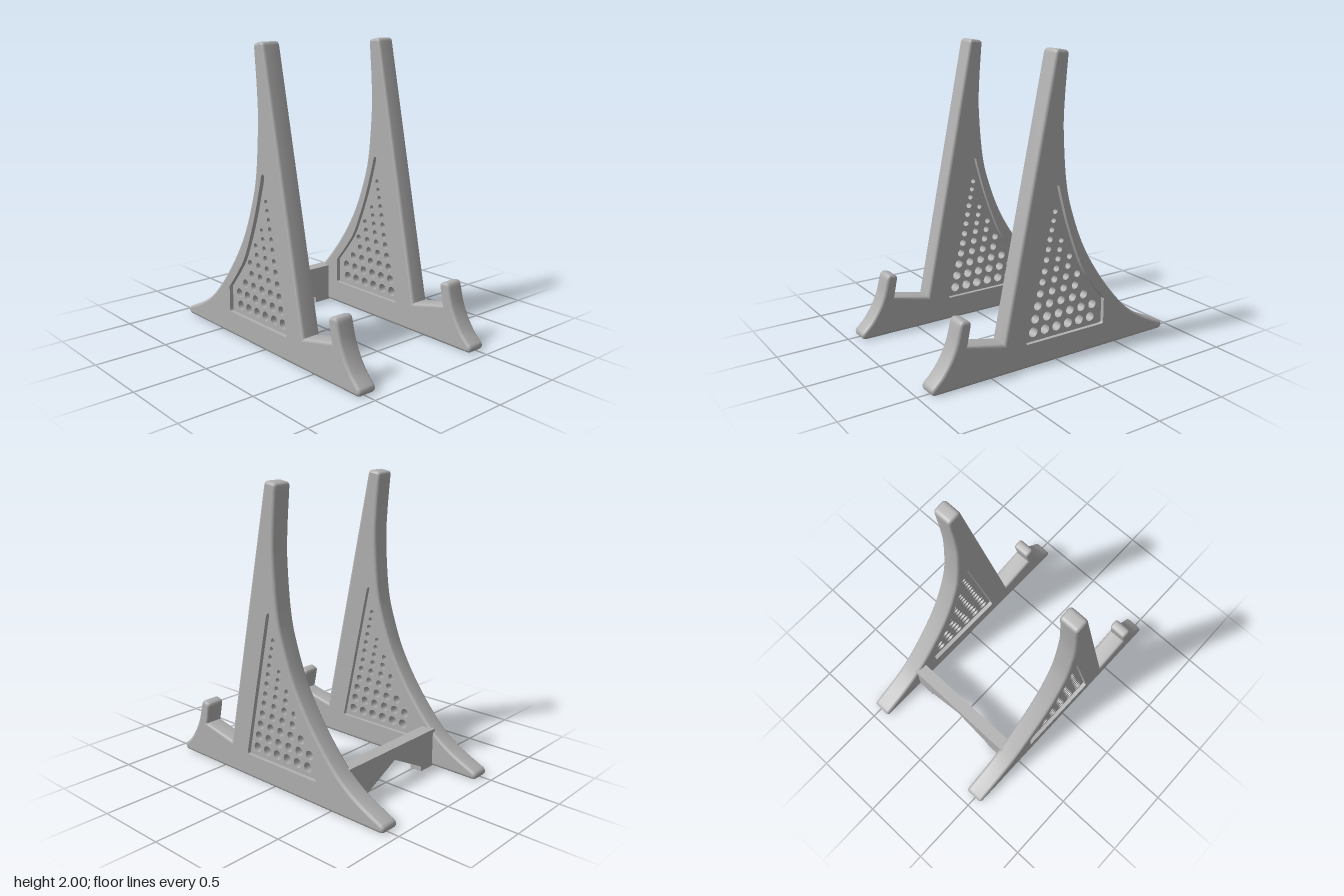
import * as THREE from 'three';
import { mergeGeometries, toCreasedNormals } from 'three/addons/utils/BufferGeometryUtils.js';

const HALF = 0.0675;   // half thickness of a side frame
const BEVEL = 0.019;   // rounded edge of a side frame
const V = (p) => p.map(([x, y]) => new THREE.Vector2(x, y));

// Side profile, drawn with z to the right and y up, counter-clockwise
function frameOutline() {
  const s = new THREE.Shape();
  s.moveTo(-0.893, 0);
  s.lineTo(0.893, 0);
  s.quadraticCurveTo(0.925, 0, 0.925, 0.028);
  s.quadraticCurveTo(0.925, 0.045, 0.905, 0.06);
  s.splineThru(V([[0.85, 0.117], [0.795, 0.2], [0.755, 0.29], [0.727, 0.395]]));
  s.quadraticCurveTo(0.718, 0.432, 0.69, 0.427);
  s.lineTo(0.668, 0.421);
  s.quadraticCurveTo(0.641, 0.413, 0.647, 0.387);
  s.lineTo(0.672, 0.265);
  s.lineTo(0.413, 0.207);
  s.lineTo(0.043, 1.974);
  s.quadraticCurveTo(0.036, 2.003, 0.01, 1.999);
  s.lineTo(-0.033, 1.992);
  s.quadraticCurveTo(-0.062, 1.987, -0.058, 1.96);
  s.splineThru(V([[-0.037, 1.71], [-0.032, 1.5], [-0.059, 1.18], [-0.112, 0.97], [-0.21, 0.73],
    [-0.362, 0.49], [-0.55, 0.27], [-0.71, 0.149], [-0.9, 0.057]]));
  s.quadraticCurveTo(-0.925, 0.047, -0.925, 0.028);
  s.quadraticCurveTo(-0.925, 0, -0.893, 0);
  return s;
}

// Opening that holds the perforated panel
function recessOutline() {
  const s = new THREE.Shape();
  s.moveTo(0.23, 0.163);
  s.lineTo(-0.365, 0.163);
  s.quadraticCurveTo(-0.381, 0.163, -0.381, 0.18);
  s.lineTo(-0.381, 0.342);
  s.splineThru(V([[-0.275, 0.472], [-0.19, 0.6], [-0.085, 0.86], [-0.018, 1.08], [0.002, 1.16]]));
  s.quadraticCurveTo(0.02, 1.2, 0.04, 1.16);
  s.lineTo(0.247, 0.182);
  s.quadraticCurveTo(0.25, 0.163, 0.23, 0.163);
  return s;
}

// Clean counter-clockwise loop of points
function loopOf(shape) {
  const pts = shape.getPoints(6);
  const clean = pts.filter((p, i) => p.distanceTo(pts[(i + 1) % pts.length]) > 1e-5);
  return THREE.ShapeUtils.isClockWise(clean) ? clean.reverse() : clean;
}

// Moves a loop inward by d with mitred corners
function inset(pts, d) {
  const n = pts.length;
  return pts.map((p, i) => {
    const a = p.clone().sub(pts[(i + n - 1) % n]).normalize();
    const b = pts[(i + 1) % n].clone().sub(p).normalize();
    const k = d / Math.max(0.3, 1 + a.dot(b));
    return new THREE.Vector2(p.x - (a.y + b.y) * k, p.y + (a.x + b.x) * k);
  });
}

// Wall through a row of loops, each at its own depth
function wall(rings) {
  const n = rings[0].pts.length, pos = [], index = [];
  rings.forEach((r) => r.pts.forEach((p) => pos.push(p.x, p.y, r.z)));
  for (let k = 0; k < rings.length - 1; k++) {
    for (let i = 0; i < n; i++) {
      const j = (i + 1) % n, a = k * n + i, b = k * n + j;
      index.push(a, b, b + n, a, b + n, a + n);
    }
  }
  const g = new THREE.BufferGeometry();
  g.setAttribute('position', new THREE.Float32BufferAttribute(pos, 3));
  g.setIndex(index);
  return toCreasedNormals(g, 0.62);
}

function frameGeometry() {
  const outer = loopOf(frameOutline()), hole = loopOf(recessOutline());
  // Rounded rim
  const rings = [], steps = 3;
  for (const side of [-1, 1]) {
    for (let i = 0; i <= steps; i++) {
      const t = (side < 0 ? i : steps - i) / steps * Math.PI / 2;
      rings.push({ pts: inset(outer, BEVEL * (1 - Math.sin(t))), z: side * (HALF - BEVEL * (1 - Math.cos(t))) });
    }
  }
  // Flat faces with the opening
  const face = new THREE.Shape(inset(outer, BEVEL));
  face.holes.push(new THREE.Path([...hole].reverse()));
  const front = new THREE.ShapeGeometry(face);
  front.deleteAttribute('uv');
  const back = front.clone().translate(0, 0, -HALF);
  back.setIndex(Array.from(back.index.array).reverse());
  back.computeVertexNormals();
  front.translate(0, 0, HALF);
  const lining = [...hole].reverse();
  return mergeGeometries([
    wall(rings),
    wall([{ pts: lining, z: -HALF }, { pts: lining, z: HALF }]),
    front.toNonIndexed(), back.toNonIndexed(),
  ]).rotateY(-Math.PI / 2);
}

// Perforated panel; rows are [height, first z, count, radius]
function panelGeometry() {
  const rows = [
    [0.224, 0.175, 6, 0.033], [0.31, 0.16, 6, 0.031], [0.394, 0.141, 5, 0.029],
    [0.473, 0.122, 4, 0.026], [0.548, 0.105, 4, 0.024], [0.617, 0.09, 3, 0.022],
    [0.69, 0.076, 1, 0.021], [0.68, -0.014, 2, 0.02], [0.757, 0.063, 1, 0.02],
    [0.74, -0.027, 1, 0.019], [0.82, 0.05, 1, 0.02], [0.798, -0.038, 1, 0.017],
    [0.88, 0.037, 1, 0.018], [0.938, 0.024, 1, 0.017], [0.995, 0.012, 1, 0.017],
  ];
  const s = new THREE.Shape(loopOf(recessOutline()));
  for (const [y, z, count, r] of rows) {
    for (let i = 0; i < count; i++) {
      s.holes.push(new THREE.Path().absarc(z - i * 0.0925, y, r, 0, Math.PI * 2, true));
    }
  }
  const depth = 0.08;
  return new THREE.ExtrudeGeometry(s, { depth, bevelEnabled: false, curveSegments: 10 })
    .translate(0, 0, -depth / 2).rotateY(-Math.PI / 2);
}

export function createModel() {
  const model = new THREE.Group();
  model.name = 'displayStand';
  const grey = new THREE.MeshStandardMaterial({ color: 0xb0b0b0 });
  grey.name = 'grey';
  const add = (parent, name, geometry) => {
    const mesh = new THREE.Mesh(geometry, grey);
    mesh.name = name;
    parent.add(mesh);
    return mesh;
  };

  // Two side supports
  const frame = frameGeometry(), panel = panelGeometry();
  for (const [name, x] of [['leftSupport', 0.4875], ['rightSupport', -0.4875]]) {
    const support = new THREE.Group();
    support.name = name;
    support.position.x = x;
    add(support, 'sideFrame', frame);
    add(support, 'perforatedPanel', panel);
    model.add(support);
  }

  // Cross brace with a peaked notch underneath
  const brace = new THREE.Shape(V([[-0.425, 0], [-0.295, 0], [-0.295, 0.035], [0, 0.185],
    [0.295, 0.035], [0.295, 0], [0.425, 0], [0.425, 0.27], [-0.425, 0.27]]));
  add(model, 'crossBrace', new THREE.ExtrudeGeometry(brace, { depth: 0.09, bevelEnabled: false }))
    .position.z = -0.57;

  // Dovetail keys at both ends of the brace
  for (const side of [1, -1]) {
    const key = new THREE.Shape(V([[0.4, 0.57], [0.445, 0.57], [0.445, 0.553], [0.415, 0.51], [0.4, 0.51]]
      .map(([x, y]) => [x * side, y])));
    add(model, side > 0 ? 'leftDovetail' : 'rightDovetail',
      new THREE.ExtrudeGeometry(key, { depth: 0.27, bevelEnabled: false }).rotateX(-Math.PI / 2));
  }
  return model;
}
